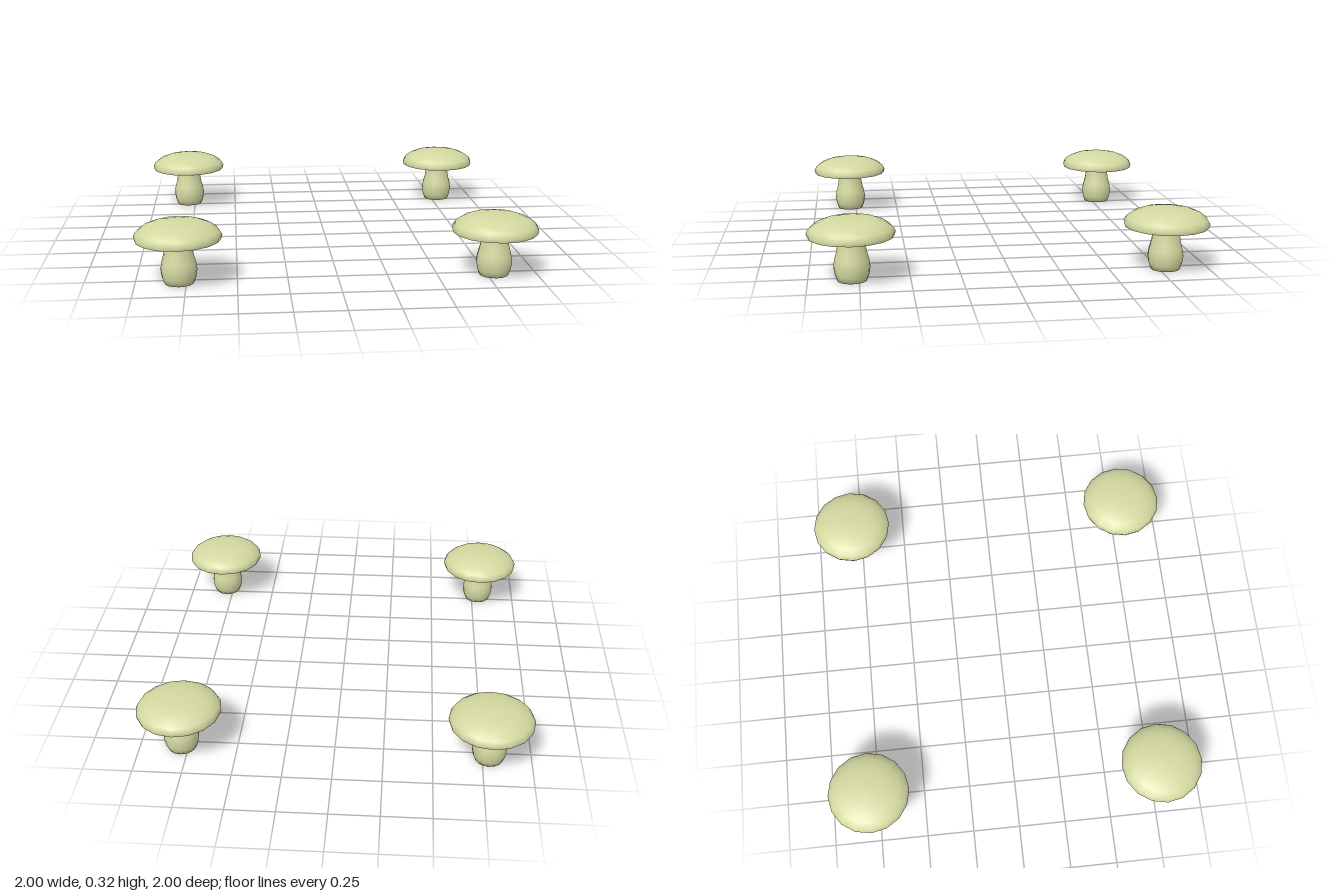
import * as THREE from 'three';

const SIDES = 16;
const SPREAD = 0.784;

// Spin a list of [radius, height] points, listed with the outside on the right
function spin(name, profile, material) {
  const points = profile.map(([r, y]) => new THREE.Vector2(r, y));
  const mesh = new THREE.Mesh(new THREE.LatheGeometry(points, SIDES), material);
  mesh.name = name;
  return mesh;
}

function createMushroom(material) {
  const mushroom = new THREE.Group();
  mushroom.name = 'mushroom';

  // Bulbous stem, tucked into the hollow of the cap
  mushroom.add(spin('stem', [
    [0, 0], [0.073, 0], [0.084, 0.03], [0.09, 0.07], [0.085, 0.105],
    [0.074, 0.145], [0.068, 0.185], [0.064, 0.222], [0.062, 0.262],
  ], material));

  // Domed cap with a rounded rim
  mushroom.add(spin('cap', [
    [0.211, 0.222], [0.216, 0.241], [0.203, 0.264], [0.172, 0.287],
    [0.128, 0.304], [0.07, 0.315], [0, 0.318],
  ], material));

  // Shallow hollow under the cap
  mushroom.add(spin('capUnderside', [
    [0, 0.256], [0.06, 0.254], [0.14, 0.244], [0.211, 0.222],
  ].map(([r, y]) => [r, y]), material));

  return mushroom;
}

export function createModel() {
  const model = new THREE.Group();
  model.name = 'mushrooms';
  const paleGreen = new THREE.MeshStandardMaterial({ color: 0xd3d8a0 });
  paleGreen.name = 'paleGreen';

  // One mushroom at each corner of a square
  for (const x of [-1, 1]) {
    for (const z of [-1, 1]) {
      const mushroom = createMushroom(paleGreen);
      mushroom.position.set(x * SPREAD, 0, z * SPREAD);
      model.add(mushroom);
    }
  }
  return model;
}
